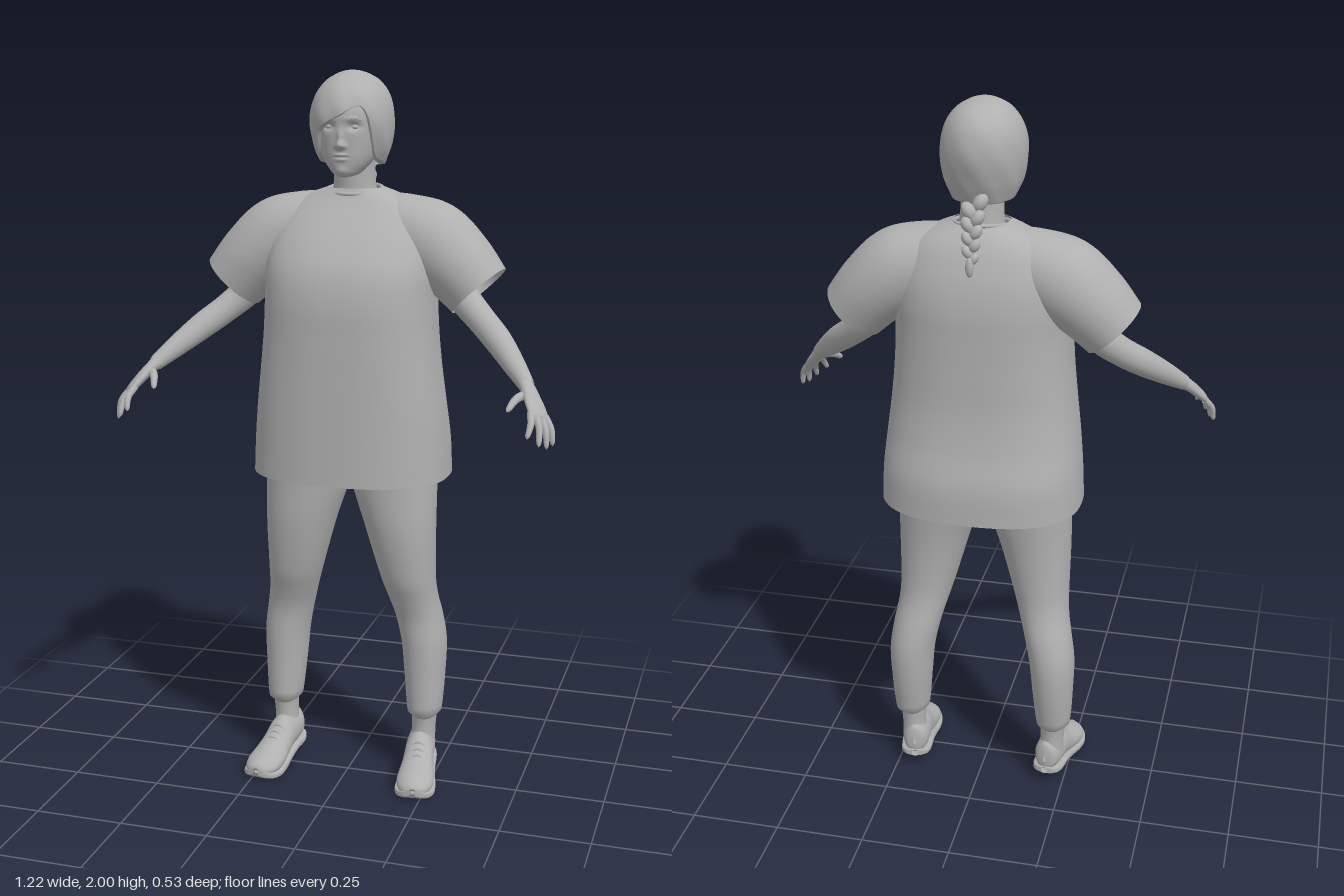
import * as THREE from 'three';

const V = (x, y, z) => new THREE.Vector3(x, y, z);

// Smooth lookup in a table whose first column is the key
function sample(rows, k) {
  const n = rows.length;
  k = Math.min(Math.max(k, rows[0][0]), rows[n - 1][0]);
  let i = 0;
  while (i < n - 2 && k > rows[i + 1][0]) i++;
  const h = rows[i + 1][0] - rows[i][0], t = (k - rows[i][0]) / h;
  const slope = (j, c) => {
    const a = rows[Math.max(j - 1, 0)], b = rows[Math.min(j + 1, n - 1)];
    return (b[c] - a[c]) / (b[0] - a[0]);
  };
  return rows[i].map((p, c) => c === 0 ? k :
    p * (1 + 2 * t) * (1 - t) ** 2 + rows[i + 1][c] * t * t * (3 - 2 * t) +
    h * slope(i, c) * t * (1 - t) ** 2 + h * slope(i + 1, c) * t * t * (t - 1));
}

// Closed strip of rings: fn(angle, v) gives a point, v runs 0..1
function surface(fn, nu, nv) {
  const pos = [], idx = [];
  for (let j = 0; j <= nv; j++)
    for (let i = 0; i < nu; i++) pos.push(...fn(i / nu * Math.PI * 2, j / nv).toArray());
  for (let j = 0; j < nv; j++)
    for (let i = 0; i < nu; i++) {
      const a = j * nu + i, b = j * nu + (i + 1) % nu;
      idx.push(a, b, b + nu, a, b + nu, a + nu);
    }
  const g = new THREE.BufferGeometry();
  g.setAttribute('position', new THREE.Float32BufferAttribute(pos, 3));
  g.setIndex(idx);
  g.computeVertexNormals();
  return g;
}

// Point on a rounded horizontal section: row = [y, centreX, halfWidth, frontZ, backZ]
function section(row, a, p = 2, s = 1) {
  const [y, cx, rx, zf, zb] = row;
  const pw = q => Math.sign(q) * Math.abs(q) ** (2 / p);
  return V(cx + s * rx * pw(Math.sin(a)), y, (zf + zb) / 2 + s * (zf - zb) / 2 * pw(Math.cos(a)));
}

const loft = (rows, p, nu, nv) => surface((a, v) =>
  section(sample(rows, rows[0][0] + v * (rows[rows.length - 1][0] - rows[0][0])), a, p), nu, nv);

// Tapered tube; pts = [x, y, z, radius along ref, radius across]
function tube(pts, ref, nu, nv, round = false) {
  const curve = new THREE.CatmullRomCurve3(pts.map(p => V(p[0], p[1], p[2])));
  const radii = pts.map((p, i) => [i / (pts.length - 1), p[3], p[4] ?? p[3]]);
  return surface((a, v) => {
    const t = curve.getTangent(v);
    const e1 = ref.clone().addScaledVector(t, -ref.dot(t)).normalize();
    const e2 = t.clone().cross(e1);
    const [, ra, rb] = sample(radii, v);
    const f = round && v > 0.85 ? Math.sqrt(Math.max(0, 1 - ((v - 0.85) / 0.15) ** 2)) : 1;
    return curve.getPoint(v).addScaledVector(e1, ra * f * Math.cos(a)).addScaledVector(e2, rb * f * Math.sin(a));
  }, nu, nv);
}

function mirrored(geo) {
  const g = geo.clone().scale(-1, 1, 1), ix = g.index.array;
  for (let i = 0; i < ix.length; i += 3) [ix[i], ix[i + 1]] = [ix[i + 1], ix[i]];
  g.computeVertexNormals();
  return g;
}

export function createModel() {
  const root = new THREE.Group();
  root.name = 'figure';
  const grey = new THREE.MeshStandardMaterial({ color: 0xb0b0b0, side: THREE.DoubleSide });
  grey.name = 'grey';
  const add = (name, geo) => {
    const m = new THREE.Mesh(geo, grey);
    m.name = name;
    root.add(m);
    return m;
  };
  const pair = (name, geo) => { add(name + 'Left', geo); add(name + 'Right', mirrored(geo)); };
  const ball = (x, y, z, rx, ry, rz, tilt = 0) =>
    new THREE.SphereGeometry(1, 20, 14).scale(rx, ry, rz).rotateZ(tilt).translate(x, y, z);

  // Loose shirt, open at hem and neck
  add('shirt', loft([
    [0.90, 0, 0.277, 0.155, -0.265], [1.0, 0, 0.272, 0.155, -0.262], [1.1, 0, 0.262, 0.155, -0.24],
    [1.2, 0, 0.25, 0.155, -0.227], [1.3, 0, 0.24, 0.155, -0.225], [1.4, 0, 0.235, 0.153, -0.225],
    [1.48, 0, 0.235, 0.135, -0.225], [1.55, 0, 0.225, 0.095, -0.215], [1.61, 0, 0.2, 0.05, -0.195],
    [1.65, 0, 0.165, 0.018, -0.175], [1.68, 0, 0.105, -0.002, -0.15], [1.69, 0, 0.075, -0.005, -0.14],
  ], 2.5, 72, 60));
  add('collar', new THREE.TorusGeometry(1, 0.08, 8, 48).rotateX(Math.PI / 2)
    .scale(0.074, 0.07, 0.072).rotateX(0.12).translate(0, 1.684, -0.07));

  // Sleeves
  const front = V(0, 0, 1);
  pair('sleeve', tube([
    [0.06, 1.59, -0.075, 0.07, 0.088], [0.14, 1.575, -0.075, 0.1, 0.1], [0.215, 1.545, -0.075, 0.113, 0.113],
    [0.285, 1.49, -0.07, 0.113, 0.104], [0.35, 1.42, -0.063, 0.1, 0.092],
  ], front, 40, 28));

  // Arms and hands
  pair('arm', tube([
    [0.22, 1.5, -0.075, 0.046], [0.31, 1.395, -0.065, 0.043], [0.365, 1.345, -0.035, 0.039],
    [0.42, 1.3, 0.01, 0.037], [0.475, 1.25, 0.07, 0.03], [0.52, 1.207, 0.122, 0.021],
  ], front, 24, 30));
  const spread = V(0.605, -0.31, -0.73).normalize();
  pair('palm', tube([
    [0.508, 1.217, 0.11, 0.02, 0.021], [0.53, 1.195, 0.138, 0.025, 0.016],
    [0.55, 1.168, 0.168, 0.032, 0.014], [0.566, 1.143, 0.194, 0.033, 0.011], [0.57, 1.135, 0.202, 0.025, 0.003],
  ], spread, 24, 16));
  const tips = [[0.547, 1.1, 0.262], [0.576, 1.078, 0.248], [0.592, 1.067, 0.222], [0.603, 1.07, 0.195]];
  tips.forEach((tip, i) => {
    const k = V(0.562, 1.148, 0.188).addScaledVector(spread, -0.026 + i * 0.0173);
    const mid = k.clone().lerp(V(...tip), 0.5).add(V(0.006, 0.006, 0.004));
    pair('finger' + (i + 1), tube([[...k.toArray(), 0.01], [...mid.toArray(), 0.009], [...tip, 0.006]], spread, 10, 14, true));
  });
  pair('thumb', tube([[0.528, 1.192, 0.137, 0.013], [0.503, 1.183, 0.175, 0.011], [0.486, 1.157, 0.218, 0.007]],
    spread, 12, 16, true));

  // Trousers
  pair('trouserLeg', loft([
    [0.168, 0.212, 0.03, -0.03, -0.11], [0.175, 0.212, 0.044, -0.012, -0.128], [0.2, 0.212, 0.05, -0.007, -0.135],
    [0.3, 0.21, 0.058, -0.004, -0.153], [0.4, 0.206, 0.064, 0, -0.16], [0.48, 0.192, 0.067, 0.004, -0.15],
    [0.54, 0.178, 0.07, 0.022, -0.135], [0.6, 0.167, 0.077, 0.045, -0.128], [0.75, 0.146, 0.099, 0.072, -0.135],
    [0.9, 0.123, 0.122, 0.08, -0.155], [1.05, 0.115, 0.125, 0.09, -0.18],
  ], 2.1, 36, 44));
  add('hips', ball(0, 1.06, -0.045, 0.235, 0.14, 0.14));

  // Ankles and shoes, toes turned slightly out
  pair('ankle', loft([[0.08, 0.208, 0.036, -0.02, -0.115], [0.13, 0.21, 0.034, -0.03, -0.11], [0.19, 0.212, 0.037, -0.025, -0.115]], 2, 24, 8));
  const shoeRows = [ // z, half width, top, bottom
    [-0.124, 0.003, 0.09, 0.07], [-0.12, 0.022, 0.122, 0.045], [-0.1, 0.036, 0.132, 0.036], [-0.06, 0.041, 0.13, 0.032],
    [-0.02, 0.042, 0.128, 0.024], [0.02, 0.045, 0.1, 0.014], [0.06, 0.051, 0.078, 0.007], [0.1, 0.052, 0.065, 0.004],
    [0.13, 0.042, 0.053, 0.007], [0.147, 0.024, 0.042, 0.014], [0.152, 0.003, 0.03, 0.022],
  ];
  const along = v => sample(shoeRows, -0.124 + 0.276 * (0.5 - 0.5 * Math.cos(v * Math.PI)));
  const place = g => g.rotateY(0.13).translate(0.213, 0, 0);
  pair('shoe', place(surface((a, v) => {
    const [z, w, top, bot] = along(v), s = Math.sin(a);
    return V(w * Math.cos(a) * (s > 0 ? 1 - 0.25 * s : 1), (top + bot) / 2 + (top - bot) / 2 * Math.sign(s) * Math.abs(s) ** 0.8, z);
  }, 32, 40)));
  pair('sole', place(surface((a, v) => {
    const [z, w, , bot] = along(v), q = x => Math.sign(x) * Math.abs(x) ** 0.4;
    const lift = z < -0.05 ? -0.004 : 0;
    return V((w + 0.005) * q(Math.cos(a)), Math.min(bot, 0.04) + 0.006 + lift + 0.01 * q(Math.sin(a)), z * 1.02);
  }, 24, 40)));
  for (let i = 0; i < 3; i++) {
    const z = 0.005 + i * 0.018, y = sample(shoeRows, z)[2];
    pair('lace' + (i + 1), place(tube([[-0.024, y - 0.013, z, 0.003], [0, y + 0.002, z, 0.003], [0.024, y - 0.013, z, 0.003]], front, 8, 10)));
  }

  // Neck and face; features are soft bumps pushed forward or back
  add('neck', loft([[1.62, 0, 0.075, 0.0, -0.14], [1.68, 0, 0.06, -0.005, -0.132], [1.74, 0, 0.055, 0, -0.128], [1.8, 0, 0.055, 0, -0.13]], 2, 32, 12));
  const bumps = [ // x, y, width, height, depth
    [0, 1.81, 0.009, 0.011, 0.02], [0, 1.832, 0.007, 0.018, 0.009], [0.011, 1.806, 0.006, 0.006, 0.006],
    [0.034, 1.857, 0.015, 0.01, -0.011], [0, 1.783, 0.015, 0.004, 0.006], [0, 1.771, 0.013, 0.004, 0.006],
    [0, 1.777, 0.018, 0.002, -0.004], [0, 1.74, 0.016, 0.01, 0.005], [0.03, 1.877, 0.018, 0.006, 0.003],
  ];
  const face = loft([
    [1.722, 0, 0.004, 0.035, 0.0], [1.728, 0, 0.028, 0.052, -0.03], [1.745, 0, 0.048, 0.061, -0.06], [1.77, 0, 0.066, 0.066, -0.09],
    [1.8, 0, 0.077, 0.069, -0.11], [1.85, 0, 0.086, 0.073, -0.13], [1.9, 0, 0.086, 0.072, -0.13],
    [1.95, 0, 0.07, 0.045, -0.115], [1.98, 0, 0.03, 0, -0.08],
  ], 2.2, 120, 90);
  const p = face.attributes.position;
  for (let i = 0; i < p.count; i++) {
    if (p.getZ(i) < 0.01) continue;
    let d = 0;
    for (const [x, y, w, h, k] of bumps)
      for (const s of x ? [1, -1] : [1])
        d += k * Math.exp(-(((p.getX(i) - s * x) / w) ** 2) - ((p.getY(i) - y) / h) ** 2);
    p.setZ(i, p.getZ(i) + d);
  }
  face.computeVertexNormals();
  add('face', face);
  pair('eye', ball(0.034, 1.856, 0.051, 0.013, 0.008, 0.011));
  pair('eyebrow', tube([[0.016, 1.873, 0.073, 0.002], [0.034, 1.879, 0.069, 0.003], [0.054, 1.873, 0.056, 0.002]], front, 8, 12));

  // Hair cap with a side-swept fringe: lower edge height by angle from the front
  const hairRows = [
    [1.74, 0, 0.08, 0.02, -0.13], [1.8, 0, 0.104, 0.068, -0.158], [1.87, 0, 0.112, 0.094, -0.177], [1.93, 0, 0.1, 0.08, -0.17],
    [1.97, 0, 0.073, 0.045, -0.142], [1.99, 0, 0.042, 0.006, -0.1], [1.998, 0, 0.018, -0.022, -0.064], [2.0, 0, 0.001, -0.04, -0.042],
  ];
  const edge = [[-Math.PI, 1.745], [-2, 1.75], [-1.1, 1.765], [-0.8, 1.79], [-0.6, 1.845], [0, 1.885], [0.5, 1.91],
    [0.72, 1.88], [0.9, 1.79], [1.2, 1.765], [2, 1.75], [Math.PI, 1.745]];
  add('hair', surface((a, v) => {
    const low = sample(edge, a > Math.PI ? a - 2 * Math.PI : a)[1];
    const t = Math.max(0, (v - 0.05) / 0.95);
    const y = low + (2 - low) * Math.sin(t * Math.PI / 2);
    const lock = 1 + 0.012 * Math.sin(a * 9 + y * 50) * (1 - t) ** 2;
    return section(sample(hairRows, y), a, 2, v < 0.04 ? 0.8 : lock);
  }, 120, 50));

  // Plaited braid down the back
  for (let i = 0; i < 9; i++) {
    const t = i / 8, s = i % 2 ? 1 : -1, w = 1 - 0.35 * t;
    add('braidLock' + (i + 1), ball(s * 0.013 * w, 1.755 - 0.13 * t, -0.148 - 0.055 * Math.sqrt(t), 0.018 * w, 0.026 * w, 0.02 * w, s * -0.6));
  }
  add('braidTail', ball(0, 1.605, -0.212, 0.011, 0.026, 0.011));
  return root;
}
